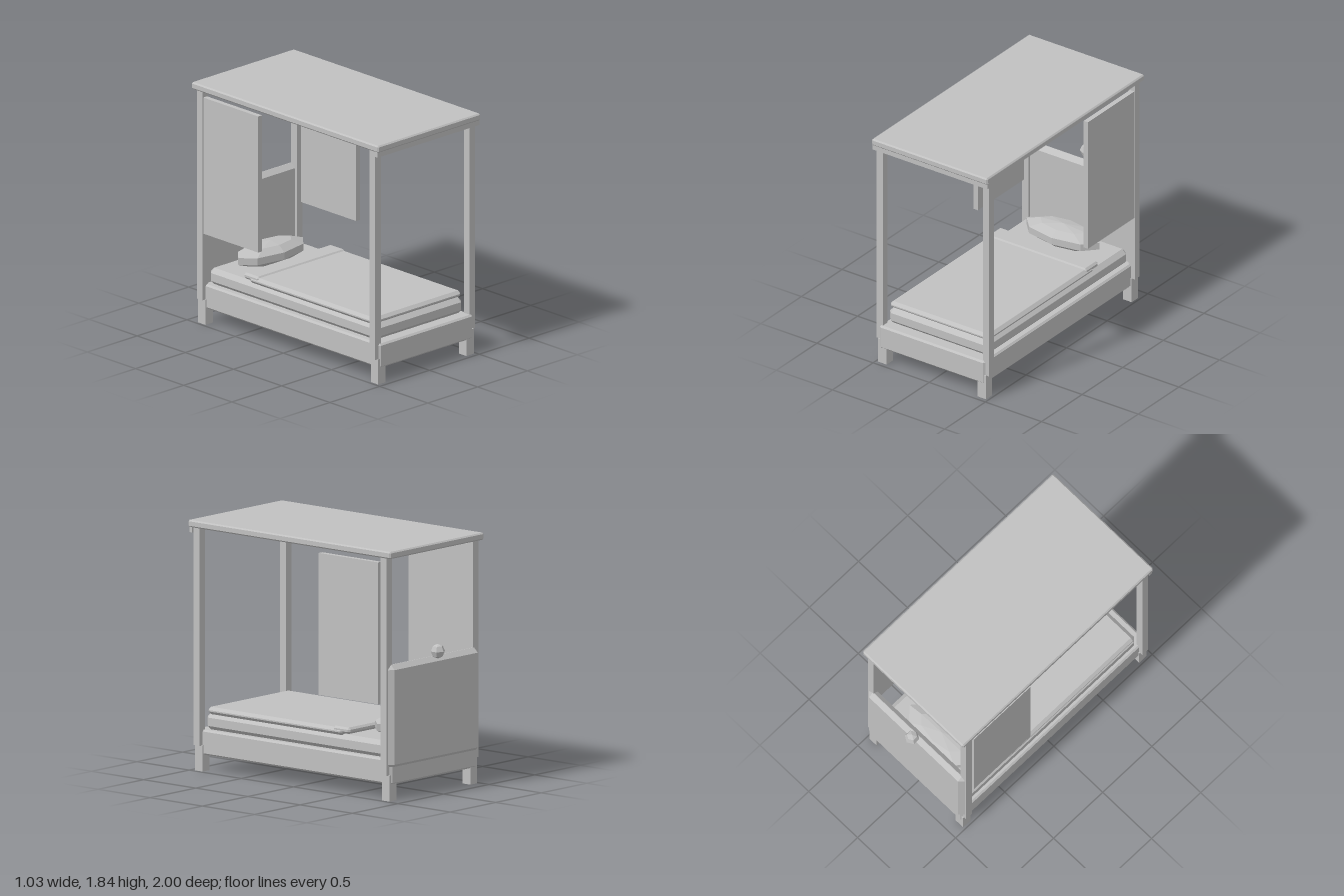
import * as THREE from 'three';
import { ConvexGeometry } from 'three/addons/geometries/ConvexGeometry.js';

export function createModel() {
  const model = new THREE.Group();
  model.name = 'canopyBed';
  const grey = new THREE.MeshStandardMaterial({ color: 0xc0c0c0, flatShading: true });
  grey.name = 'plain grey';

  function add(name, geometry) {
    const mesh = new THREE.Mesh(geometry, grey);
    mesh.name = name;
    model.add(mesh);
    return mesh;
  }

  // Box from its extents; a bevel above zero chamfers every edge
  function box(name, [x0, x1], [y0, y1], [z0, z1], bevel = 0) {
    const half = [(x1 - x0) / 2, (y1 - y0) / 2, (z1 - z0) / 2];
    let geometry;
    if (bevel > 0) {
      const points = [];
      for (const sx of [-1, 1]) for (const sy of [-1, 1]) for (const sz of [-1, 1]) {
        const sign = [sx, sy, sz];
        for (let axis = 0; axis < 3; axis++) {
          points.push(new THREE.Vector3(
            ...half.map((h, i) => sign[i] * (i === axis ? h : h - bevel))
          ));
        }
      }
      geometry = new ConvexGeometry(points);
    } else {
      geometry = new THREE.BoxGeometry(...half.map((h) => h * 2));
    }
    add(name, geometry).position.set((x0 + x1) / 2, (y0 + y1) / 2, (z0 + z1) / 2);
  }

  // Frame and bedding
  box('bedFrame', [-0.47, 0.47], [0.12, 0.305], [-0.91, 0.97], 0.013);
  box('mattress', [-0.445, 0.445], [0.3, 0.427], [-0.84, 0.9], 0.033);
  box('blanket', [-0.445, 0.445], [0.418, 0.472], [-0.42, 0.88], 0.022);
  box('blanketFold', [-0.44, 0.44], [0.435, 0.482], [-0.48, -0.32], 0.015);

  // Headboard with wide chamfers and a faceted knob behind it
  box('headboard', [-0.49, 0.49], [0.235, 1.0], [-0.93, -0.855], 0.035);
  const knob = add('headboardKnob', new THREE.SphereGeometry(0.054, 6, 4));
  knob.rotation.y = Math.PI / 2;
  knob.position.set(0, 1.043, -0.946);

  // Low-poly pillow sunk a little into the mattress
  const pillow = add('pillow', new THREE.SphereGeometry(1, 8, 5));
  pillow.scale.set(0.342, 0.086, 0.15);
  pillow.position.set(0, 0.492, -0.648);

  // Legs, posts and curtains on both sides
  for (const side of [-1, 1]) {
    const label = side > 0 ? 'left' : 'right';
    const span = (a, b) => (side > 0 ? [a, b] : [-b, -a]);
    for (const [end, z] of [['Front', 0.926], ['Back', -0.866]]) {
      box(label + end + 'Leg', span(0.405, 0.48), [0, 0.193], [z - 0.038, z + 0.038]);
      box(label + end + 'Post', span(0.445, 0.502), [0.19, 1.79], [z - 0.029, z + 0.029]);
    }
    box(label + 'Curtain', span(0.472, 0.51), [0.708, 1.75], [-0.82, -0.25]);
  }

  // Canopy roof and front valance rail
  box('canopyRoof', [-0.515, 0.515], [1.787, 1.84], [-0.94, 1.0], 0.01);
  box('canopyFrontRail', [-0.51, 0.51], [1.75, 1.79], [0.962, 0.99]);

  return model;
}
